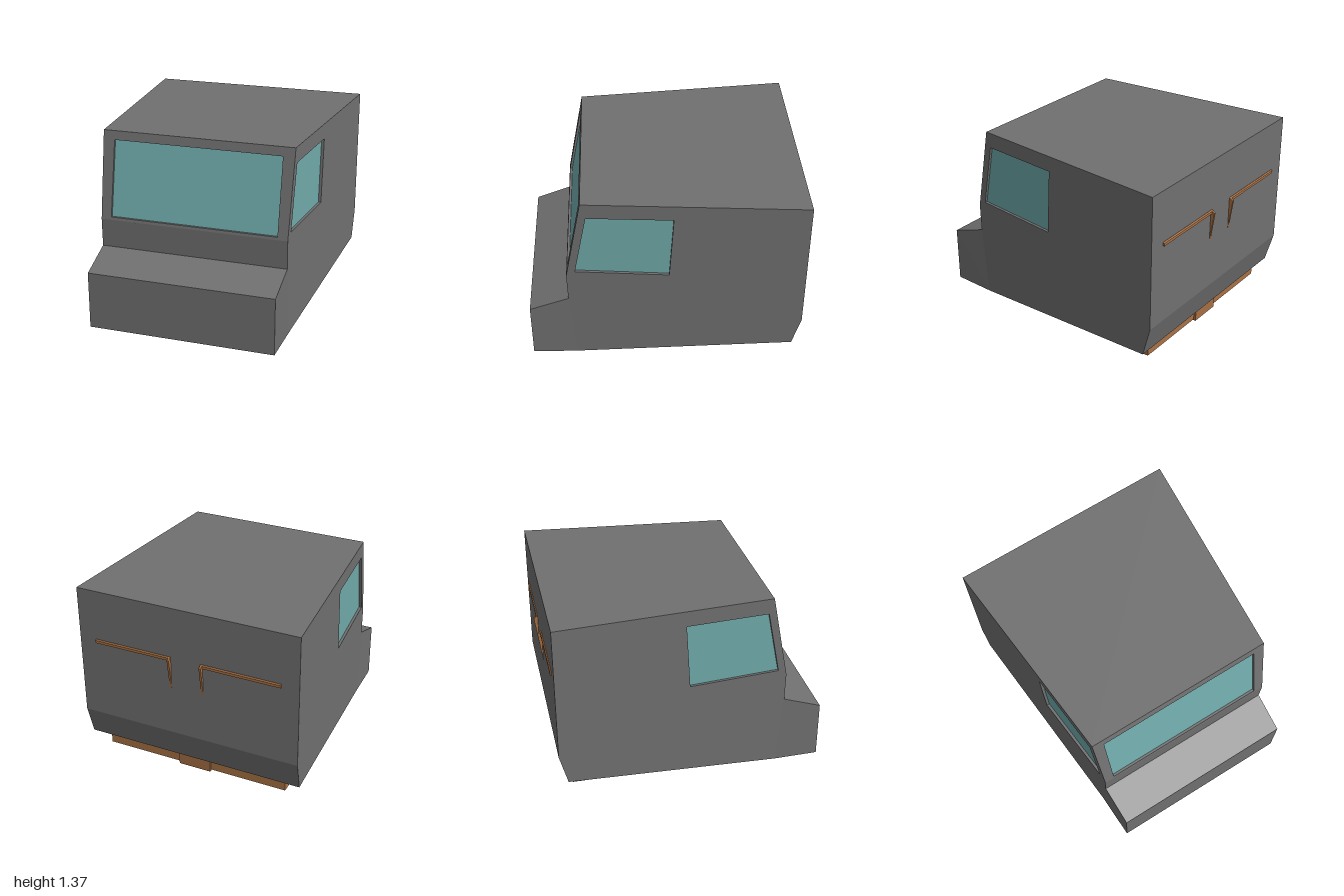
import * as THREE from 'three';

const bodyMat = new THREE.MeshStandardMaterial({ color: 0x707070, flatShading: true });
const glassMat = new THREE.MeshStandardMaterial({ color: 0x70aaaa, flatShading: true });
const brownMat = new THREE.MeshStandardMaterial({ color: 0xa87043, flatShading: true });

// Side outline of the body as [z, y], starting at the front bottom edge
const PROFILE = [[1, 0], [1, 0.425], [0.715, 0.525], [0.72, 0.735], [0.595, 1.37],
  [-0.97, 1.37], [-0.97, 0.37], [-0.91, 0.145], [0.67, 0]];
const WINDSCREEN = 3; // index of the profile segment holding the windscreen

// Half width: the cab narrows toward the front
const halfWidth = (z) => (z > 0.72 ? 0.695 - (z - 0.72) * 0.018 : 0.84 - (z + 0.97) * 0.0858);

const vec2s = (pts) => pts.map(([u, v]) => new THREE.Vector2(u, v));

function meshFrom(name, positions, material) {
  const g = new THREE.BufferGeometry();
  g.setAttribute('position', new THREE.Float32BufferAttribute(positions, 3));
  g.computeVertexNormals();
  const m = new THREE.Mesh(g, material);
  m.name = name;
  return m;
}

function quad(out, a, b, c, d) {
  for (const p of [a, b, c, a, c, d]) out.push(p.x, p.y, p.z);
}

// Flat wall from a 2D outline, with an optional recessed window
function wall(group, name, outline, hole, place, inset) {
  const shape = new THREE.Shape(vec2s(outline));
  if (hole) shape.holes.push(new THREE.Path(vec2s(hole)));
  const flat = new THREE.ShapeGeometry(shape).toNonIndexed().attributes.position;
  const out = [];
  for (let i = 0; i < flat.count; i++) {
    const p = place(flat.getX(i), flat.getY(i));
    out.push(p.x, p.y, p.z);
  }
  if (hole) {
    const rim = hole.map(([u, v]) => place(u, v));
    const back = rim.map((p) => p.clone().add(inset));
    rim.forEach((p, i) => {
      const j = (i + 1) % rim.length;
      quad(out, p, rim[j], back[j], back[i]);
    });
    const pane = [];
    quad(pane, ...back);
    group.add(meshFrom(name + 'Glass', pane, glassMat));
  }
  group.add(meshFrom(name, out, bodyMat));
}

// Solid with a [z, y] section running from x0 to x1
function prism(name, section, x0, x1) {
  const shape = new THREE.Shape(vec2s(section.map(([z, y]) => [-z, y])));
  const g = new THREE.ExtrudeGeometry(shape, { depth: x1 - x0, bevelEnabled: false });
  g.rotateY(Math.PI / 2).translate(x0, 0, 0);
  const m = new THREE.Mesh(g, brownMat);
  m.name = name;
  return m;
}

export function createModel() {
  const model = new THREE.Group();
  model.name = 'vanCab';
  const body = new THREE.Group();
  body.name = 'body';
  model.add(body);

  // Front, roof, back and floor panels spanning the width
  const skin = [];
  PROFILE.forEach(([z, y], i) => {
    if (i === WINDSCREEN) return;
    const [z2, y2] = PROFILE[(i + 1) % PROFILE.length];
    const w = halfWidth(z), w2 = halfWidth(z2);
    quad(skin, new THREE.Vector3(-w, y, z), new THREE.Vector3(w, y, z),
      new THREE.Vector3(w2, y2, z2), new THREE.Vector3(-w2, y2, z2));
  });
  body.add(meshFrom('outerPanels', skin, bodyMat));

  // Sloping windscreen wall
  const [[zb, yb], [zt, yt]] = [PROFILE[WINDSCREEN], PROFILE[WINDSCREEN + 1]];
  const wb = halfWidth(zb), wt = halfWidth(zt);
  wall(body, 'windscreen',
    [[-wb, yb], [wb, yb], [wt, yt], [-wt, yt]],
    [[-0.62, 0.755], [0.62, 0.755], [0.62, 1.305], [-0.62, 1.305]],
    (x, y) => new THREE.Vector3(x, y, zb + (zt - zb) * (y - yb) / (yt - yb)),
    new THREE.Vector3(0, 0, -0.018));

  // Side walls with windows, and the sides of the nose
  const sideWindow = [[0.655, 0.78], [-0.01, 0.77], [-0.04, 1.255], [0.56, 1.255]];
  const nose = [PROFILE[0], PROFILE[1], PROFILE[2], PROFILE[8]];
  for (const s of [1, -1]) {
    const side = s > 0 ? 'left' : 'right';
    const toUV = (pts) => pts.map(([z, y]) => [-s * z, y]);
    const place = (u, y) => new THREE.Vector3(s * halfWidth(-s * u), y, -s * u);
    const hole = toUV(sideWindow);
    if (s < 0) hole.reverse();
    wall(body, side + 'Side', toUV(PROFILE.slice(2)), hole, place, new THREE.Vector3(-s * 0.02, 0, 0));
    wall(body, side + 'NoseSide', toUV(nose), null, place);
  }

  // Cross bars under the floor, each with a slightly larger middle block
  const underBars = [
    { name: 'frontCrossBar', top: 0.1, z0: 0.06, z1: -0.015, z2: -0.17 },
    { name: 'rearCrossBar', top: 0.15, z0: -0.555, z1: -0.695, z2: -0.865 },
  ];
  for (const { name, top, z0, z1, z2 } of underBars) {
    const section = (grow) => [[z0, top], [z1 - grow / 2, 0.045 - grow],
      [z2 - 1.5 * grow, 0.045 - grow], [z2 - 2 * grow, top]];
    model.add(prism(name, section(0), -0.71, 0.71));
    model.add(prism(name + 'Block', section(0.01), -0.125, 0.125));
  }

  // Back rails: a thin ledge and a tapering leg on each side
  const ledge = [[-0.96, 0.99], [-0.972, 0.99], [-0.98, 0.983], [-0.98, 0.963], [-0.96, 0.963]];
  const leg = [[-0.96, 0.99], [-0.972, 0.99], [-1, 0.972], [-0.97, 0.745], [-0.96, 0.745]];
  for (const s of [1, -1]) {
    const side = s > 0 ? 'left' : 'right';
    const span = (a, b) => (s > 0 ? [a, b] : [-b, -a]);
    model.add(prism(side + 'BackLedge', ledge, ...span(0.115, 0.71)));
    model.add(prism(side + 'BackLeg', leg, ...span(0.115, 0.13)));
  }
  return model;
}
